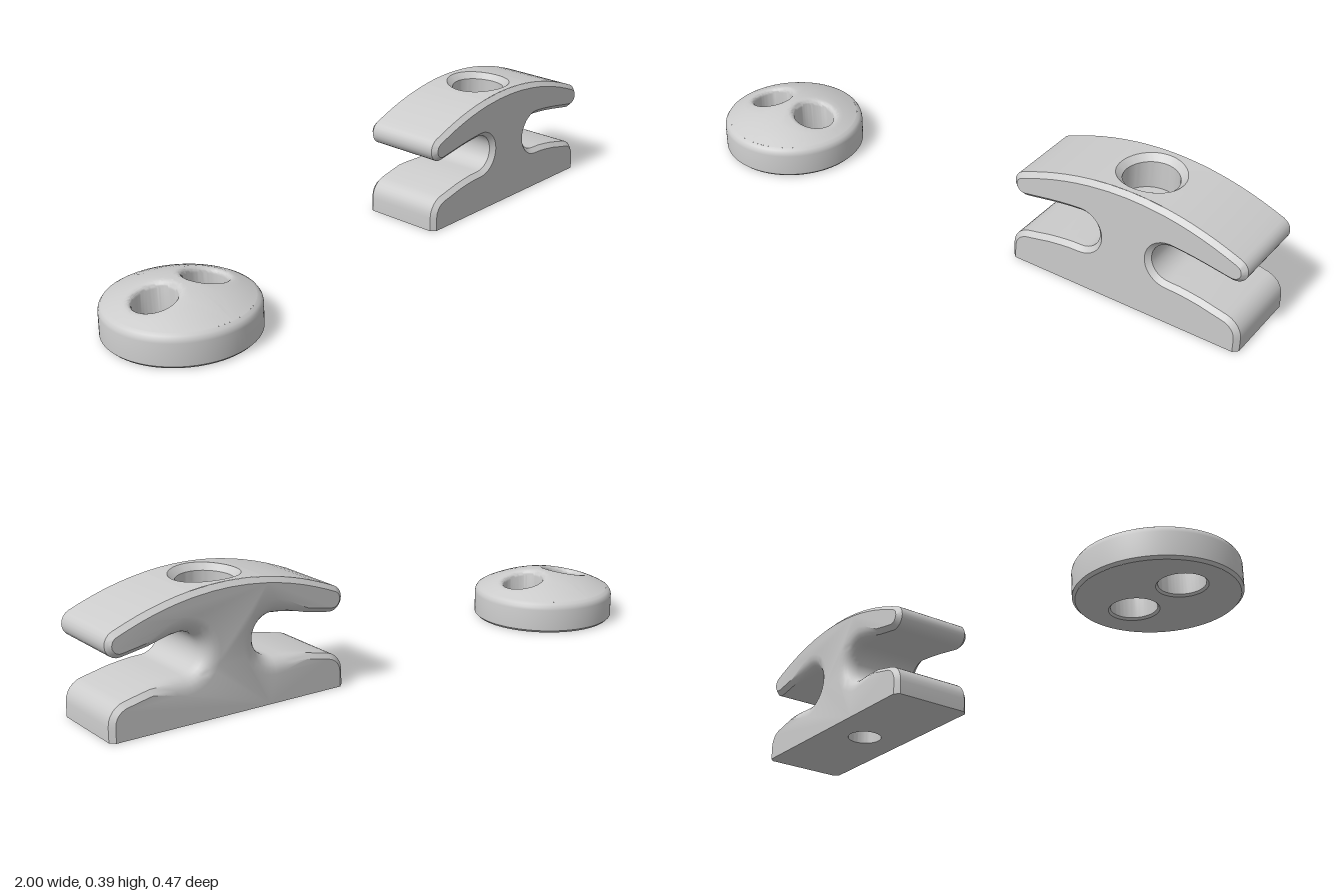
import * as THREE from 'three';
import { toCreasedNormals } from 'three/addons/utils/BufferGeometryUtils.js';

const material = new THREE.MeshStandardMaterial({ color: 0xcccccc });

function makeMesh(name, geometry, crease = 0.6) {
  const mesh = new THREE.Mesh(toCreasedNormals(geometry, crease), material);
  mesh.name = name;
  return mesh;
}

function fromTriangles(positions) {
  const g = new THREE.BufferGeometry();
  g.setAttribute('position', new THREE.Float32BufferAttribute(positions, 3));
  return g;
}

// Skin closed rings of [x, y, z] points; skip(i, j) leaves a quad out
function loft(rings, skip = () => false) {
  const out = [];
  for (let i = 0; i < rings.length - 1; i++) {
    const a = rings[i], b = rings[i + 1], n = a.length;
    for (let j = 0; j < n; j++) {
      if (skip(i, j)) continue;
      const k = (j + 1) % n;
      out.push(...a[j], ...a[k], ...b[j], ...a[k], ...b[k], ...b[j]);
    }
  }
  return out;
}

// ---- Cleat ----
const HALF_DEPTH = 0.14, CHAMFER = 0.015, FILLET = 0.05, PATCH = 0.125;
const crown = (x) => 0.39 - (x * x) / 1.7;

function cleatProfile() {
  const half = [[PATCH, 0], [0.39, 0], [0.39, 0.045]];
  const arc = (cx, cy, r, from, to, n) => {
    for (let i = 0; i <= n; i++) {
      const a = THREE.MathUtils.degToRad(from + ((to - from) * i) / n);
      half.push([cx + r * Math.cos(a), cy + r * Math.sin(a)]);
    }
  };
  arc(0.325, 0.045, 0.065, 15, 75, 5); // base shoulder
  half.push([0.30, 0.117], [0.26, 0.126], [0.22, 0.132], [0.185, 0.136]);
  arc(0.15, 0.2, 0.063, 270, 90, 16); // throat
  half.push([0.185, 0.26], [0.22, 0.256], [0.26, 0.25], [0.30, 0.243]);
  arc(0.35, 0.275, 0.04, -100, 65, 10); // horn tip
  for (const x of [0.33, 0.29, 0.25, 0.21, 0.17, PATCH, 0.06]) half.push([x, crown(x)]);
  const mirrored = half.map(([x, y]) => [-x, y]).reverse();
  return [...half, [0, crown(0)], ...mirrored];
}

// Inward normal at each profile point; the foot stays flat
function inwardNormals(profile) {
  const n = profile.length;
  return profile.map(([x, y], i) => {
    const p = profile[(i + n - 1) % n], q = profile[(i + 1) % n];
    if (y === 0) return Math.abs(x) > 0.3 ? [-Math.sign(x), 0] : [0, 0];
    const dx = q[0] - p[0], dy = q[1] - p[1], l = Math.hypot(dx, dy);
    return [-dy / l, dx / l];
  });
}

function cleatBody() {
  const profile = cleatProfile(), normals = inwardNormals(profile);
  const chamfer = (d) => Math.max(0, CHAMFER - d);
  const fillet = (d) => (d >= FILLET ? 0 : FILLET - Math.sqrt(FILLET ** 2 - (FILLET - d) ** 2));
  // The back edge of the throat is broadly rounded, all other edges are chamfered
  const section = (z) => {
    const front = HALF_DEPTH - z, back = HALF_DEPTH + z;
    return profile.map(([x, y], i) => {
      const inThroat = y > 0.1 && y < 0.3;
      const w = inThroat ? 1 - THREE.MathUtils.smoothstep(Math.abs(x), 0.15, 0.27) : 0;
      const inset = z > 0 ? chamfer(front) : (1 - w) * chamfer(back) + w * fillet(back);
      return [x + normals[i][0] * inset, y + normals[i][1] * inset, z];
    });
  };
  const depths = [0, 0.003, 0.008, CHAMFER, 0.025, 0.037, FILLET, 2 * HALF_DEPTH - CHAMFER, 2 * HALF_DEPTH];
  const rings = depths.map((d) => section(d - HALF_DEPTH));

  // Leave room for the screw hole patches on the crown and the foot
  const central = ([x, y]) => Math.abs(x) <= PATCH + 1e-6 && (y > 0.36 || y === 0);
  const skip = (i, j) => i >= 3 && i < depths.length - 2 &&
    central(profile[j]) && central(profile[(j + 1) % profile.length]);
  const positions = loft(rings, skip);

  // End faces
  const cap = (ring, flip) => {
    const contour = ring.map(([x, y]) => new THREE.Vector2(x, y));
    for (const [a, b, c] of THREE.ShapeUtils.triangulateShape(contour, [])) {
      positions.push(...ring[a], ...ring[flip ? c : b], ...ring[flip ? b : c]);
    }
  };
  cap(rings[0], true);
  cap(rings[rings.length - 1], false);
  return fromTriangles(positions);
}

// Counterbored screw hole, joined to square patches above and below
function screwHole() {
  const ring = (radius, height) => Array.from({ length: 64 }, (_, i) => {
    const a = (i / 64) * Math.PI * 2, c = Math.cos(a), s = Math.sin(a);
    const r = radius ?? PATCH / Math.max(Math.abs(c), Math.abs(s));
    return [r * c, height(r * c), r * s];
  });
  return fromTriangles(loft([
    ring(null, () => 0),
    ring(0.055, () => 0),
    ring(0.055, () => 0.28),
    ring(0.085, () => 0.28),
    ring(0.085, (x) => crown(x) - 0.02),
    ring(0.105, crown),
    ring(null, crown),
  ]));
}

// ---- Two-hole button ----
const HOLE_X = 0.094, HOLE_R = 0.065, TOP_R = 0.215, FOOT_R = 0.225;
const dome = (r) => 0.155 - 1.15 * r * r;

// Half of the button around one hole: underside, bore and domed top
function buttonHalf() {
  const rays = (R) => {
    const A = Math.atan2(R, -HOLE_X), list = [];
    for (let i = 0; i < 48; i++) list.push(-A + (2 * A * i) / 48);
    for (let i = 0; i < 32; i++) list.push(A + ((2 * Math.PI - 2 * A) * i) / 32);
    return list.map((a) => {
      const c = Math.cos(a), s = Math.sin(a);
      const toRim = -HOLE_X * c + Math.sqrt(R * R - (HOLE_X * s) ** 2);
      const toMiddle = c < 0 ? -HOLE_X / c : Infinity;
      return { c, s, reach: Math.min(toRim, toMiddle) };
    });
  };
  const ring = (R, distance, height) => rays(R).map(({ c, s, reach }) => {
    const t = distance(reach), x = HOLE_X + t * c, z = t * s;
    return [x, height(Math.hypot(x, z), t - HOLE_R), z];
  });
  const round = 0.02;
  const top = (r, d) => dome(r) - (d >= round ? 0 : round - Math.sqrt(round ** 2 - (round - d) ** 2));
  const rings = [
    ring(FOOT_R, (reach) => reach, () => 0),
    ring(FOOT_R, () => HOLE_R + 0.006, () => 0),
    ring(FOOT_R, () => HOLE_R, () => 0.006),
  ];
  for (const d of [0, 0.001, 0.003, 0.007, 0.012, round]) rings.push(ring(TOP_R, () => HOLE_R + d, top));
  for (const f of [0.25, 0.5, 0.75, 1]) {
    const start = HOLE_R + round;
    rings.push(ring(TOP_R, (reach) => start + (reach - start) * f, top));
  }
  return fromTriangles(loft(rings));
}

function buttonRim() {
  const points = [[FOOT_R, 0], [0.233, 0.008], [0.233, 0.078], [0.231, 0.087], [0.225, 0.096], [TOP_R, dome(TOP_R)]];
  return new THREE.LatheGeometry(points.map(([x, y]) => new THREE.Vector2(x, y)), 96);
}

export function createModel() {
  const model = new THREE.Group();

  const cleat = new THREE.Group();
  cleat.name = 'cleat';
  cleat.position.set(0.61, 0, -0.04);
  cleat.add(makeMesh('cleatBody', cleatBody()), makeMesh('screwHole', screwHole()));

  const button = new THREE.Group();
  button.name = 'button';
  button.position.set(-0.767, 0, 0);
  button.add(makeMesh('buttonRim', buttonRim()));
  for (const side of ['left', 'right']) {
    const half = makeMesh(side + 'ButtonHalf', buttonHalf());
    if (side === 'right') half.rotation.y = Math.PI;
    button.add(half);
  }

  model.add(cleat, button);
  return model;
}
